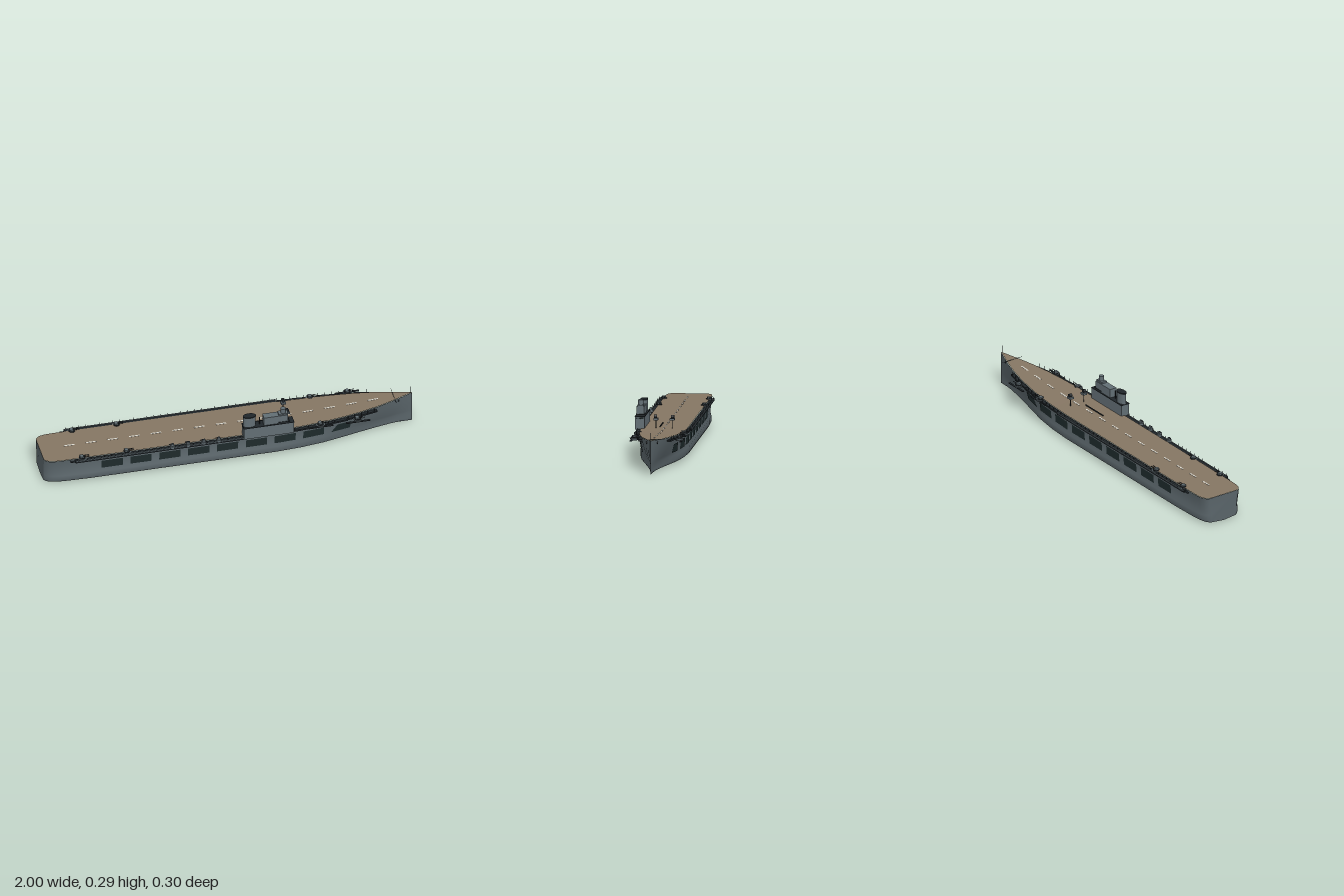
import * as THREE from 'three';
import { toCreasedNormals } from 'three/addons/utils/BufferGeometryUtils.js';

const mat = (name, color, side = THREE.FrontSide) => {
  const m = new THREE.MeshStandardMaterial({ color, side });
  m.name = name;
  return m;
};

// Hull stations: x, half width at deck, half width at the bilge
const stations = [
  [-1, 0.092, 0.08], [-0.992, 0.105, 0.094], [-0.975, 0.116, 0.106], [-0.95, 0.122, 0.114], [-0.9, 0.124, 0.121],
  [-0.75, 0.124, 0.126], [0, 0.124, 0.126], [0.25, 0.124, 0.126], [0.38, 0.12, 0.118], [0.5, 0.113, 0.102],
  [0.6, 0.102, 0.08], [0.7, 0.087, 0.055], [0.8, 0.066, 0.032], [0.88, 0.043, 0.016], [0.95, 0.019, 0.006], [1, 0.0015, 0.001],
];

const sheer = (x) => 0.152 + 0.03 * Math.pow(Math.max(0, (x - 0.35) / 0.65), 1.4);

function widths(x) {
  let i = 0;
  while (i < stations.length - 2 && stations[i + 1][0] < x) i++;
  const a = stations[i], b = stations[i + 1], t = (x - a[0]) / (b[0] - a[0]);
  return [a[1] + (b[1] - a[1]) * t, a[2] + (b[2] - a[2]) * t];
}

// Half section from deck edge down to keel as [half width, height]
function section(x) {
  const [d, b] = widths(x);
  const waist = b * 0.94 + (d - b) * 0.3;
  return [[d, sheer(x)], [waist + (d - waist) * 0.8, 0.138], [waist, 0.068], [b, 0.05],
    [b, 0.022], [b * 0.975, 0.014], [b * 0.93, 0.01], [0, 0.002]];
}

function sideAt(x, y) {
  const s = section(x), a = s[1], b = s[2];
  return b[0] + (a[0] - b[0]) * (y - b[1]) / (a[1] - b[1]);
}

function meshGeometry(pos, index) {
  const g = new THREE.BufferGeometry();
  g.setAttribute('position', new THREE.Float32BufferAttribute(pos, 3));
  g.setIndex(index);
  return toCreasedNormals(g, 0.6);
}

function hullGeometry() {
  const pos = [], index = [];
  let n = 0;
  stations.forEach(([x]) => {
    const s = section(x);
    const ring = [...s, ...s.slice(0, -1).reverse().map(([z, y]) => [-z, y])];
    n = ring.length;
    ring.forEach(([z, y]) => pos.push(x, y, z));
  });
  for (let i = 0; i < stations.length - 1; i++) {
    for (let j = 0; j < n - 1; j++) {
      const a = i * n + j, b = a + n;
      index.push(a, a + 1, b, b, a + 1, b + 1);
    }
  }
  const last = (stations.length - 1) * n;
  for (let j = 1; j < n - 1; j++) index.push(0, j + 1, j, last, last + j, last + j + 1);
  return meshGeometry(pos, index);
}

function deckGeometry() {
  const pos = [], index = [];
  stations.forEach(([x, d], i) => {
    const w = Math.max(0.0005, d - 0.002), y = sheer(x) + 0.0005;
    pos.push(x, y, w, x, y, -w);
    if (i) {
      const a = 2 * i - 2;
      index.push(a, a + 2, a + 1, a + 1, a + 2, a + 3);
    }
  });
  return meshGeometry(pos, index);
}

export function createModel() {
  const model = new THREE.Group();
  const ship = new THREE.Group();
  ship.name = 'ship';
  ship.position.z = -0.004;
  model.add(ship);

  const grey = mat('hullGrey', 0x5a656a);
  const upper = mat('superstructureGrey', 0x626e74);
  const dark = mat('openingDark', 0x1f2c2d, THREE.DoubleSide);
  const black = mat('fittingBlack', 0x20262a);
  const wood = mat('deckBrown', 0x857663);
  const white = mat('markingWhite', 0xdcdad0);

  const add = (name, geo, m, x = 0, y = 0, z = 0, parent = ship) => {
    const o = new THREE.Mesh(geo, m);
    o.name = name;
    o.position.set(x, y, z);
    parent.add(o);
    return o;
  };
  const box = (name, w, h, d, m, x, y, z, p) => add(name, new THREE.BoxGeometry(w, h, d), m, x, y, z, p);
  const cyl = (name, r, h, m, x, y, z, p, r2 = r) => add(name, new THREE.CylinderGeometry(r, r2, h, 20), m, x, y, z, p);

  add('hull', hullGeometry(), grey);
  add('flightDeck', deckGeometry(), wood);

  // Dashed centre line
  for (let i = 0; i < 15; i++) {
    const x = -0.842 + i * 0.1165;
    const dash = box('deckDash', 0.056, 0.001, 0.008, white, x, sheer(x) + 0.0015, 0);
    dash.rotation.z = Math.atan2(sheer(x + 0.02) - sheer(x - 0.02), 0.04);
  }
  box('deckBarrier', 0.155, 0.006, 0.004, black, 0.197, 0.155, 0.026);

  for (const s of [1, -1]) {
    // Hull side openings, the foremost one with a slanted end
    for (let i = 0; i < 9; i++) {
      const w = i < 8 ? 0.114 : 0.106;
      const g = new THREE.PlaneGeometry(w, 0.048, 6, 1);
      const p = g.attributes.position;
      for (let k = 0; k < p.count; k++) {
        let x = p.getX(k) - 0.697 + i * 0.155 + w / 2;
        const y = p.getY(k) + 0.093;
        if (i === 8) x += (0.655 - x) * 0.3 * (y - 0.069) / 0.048;
        p.setXYZ(k, x, y, s * (sideAt(x, y) + 0.003));
      }
      g.computeVertexNormals();
      add('sideOpening', g, dark);
    }

    // Walkway galleries, straight aft and stepped toward the bow
    box('gallery', 1.14, 0.01, 0.022, black, -0.27, 0.143, s * 0.132);
    box('galleryLip', 1.14, 0.005, 0.003, grey, -0.27, 0.15, s * 0.142);
    for (let i = 0; i < 6; i++) {
      const x = 0.34 + i * 0.082;
      const slope = (widths(x + 0.04)[0] - widths(x - 0.04)[0]) / 0.08;
      const step = box('bowGallery', 0.086, 0.009, 0.018, black, x, 0.143 + (sheer(x) - 0.152) * 0.7, s * (widths(x)[0] + 0.007));
      step.rotation.y = -s * Math.atan(slope);
    }

    // Gallery railing
    for (let i = 0; i <= 44; i++) {
      const x = -0.83 + i * 0.0365;
      const z = x < 0.3 ? 0.142 : widths(x)[0] + 0.014;
      box('railPost', 0.0015, 0.02, 0.0015, black, x, sheer(x) + 0.001, s * z);
    }

    // Twin gun mounts on round sponsons
    for (const x of [-0.8, -0.56, 0.48, 0.68]) {
      const gun = new THREE.Group();
      gun.name = 'gunMount';
      gun.position.set(x, 0.15, s * 0.119);
      ship.add(gun);
      cyl('sponson', 0.024, 0.012, grey, 0, -0.004, 0, gun, 0.019);
      cyl('turntable', 0.017, 0.006, black, 0, 0.004, 0, gun);
      box('gunShield', 0.018, 0.01, 0.022, upper, -0.003, 0.01, 0, gun);
      for (const k of [1, -1]) {
        const barrel = cyl('gunBarrel', 0.0017, 0.036, black, 0.018, 0.011, k * 0.006, gun);
        barrel.rotation.z = Math.PI / 2;
      }
      box('gunPlatform', 0.13, 0.003, 0.012, black, 0, -0.008, s * 0.012, gun);
    }

    // Raised directors on the deck
    box('directorBase', 0.026, 0.011, 0.024, upper, 0.317, 0.201, s * 0.043);
    cyl('directorPost', 0.002, 0.046, black, 0.317, 0.174, s * 0.043);
    const drum = cyl('directorDrum', 0.009, 0.016, black, 0.317, 0.215, s * 0.045);
    drum.rotation.x = Math.PI / 2;

    // Bow hawse plates
    const hawse = cyl('hawsePlate', 0.006, 0.004, black, 0.92, 0.161, s * (widths(0.92)[0] - 0.001));
    hawse.rotation.x = Math.PI / 2;
  }

  // Bow boom and flagstaff
  const boom = cyl('bowBoom', 0.001, 0.128, black, 0.9, 0.177, 0);
  boom.rotation.x = Math.PI / 2;
  cyl('flagstaff', 0.001, 0.044, black, 0.99, 0.2, 0);

  // Light guns along the island side
  for (const x of [-0.32, -0.235, -0.152, -0.07]) {
    cyl('lightGunTub', 0.013, 0.012, upper, x, 0.153, 0.136);
    box('lightGun', 0.016, 0.012, 0.012, upper, x, 0.165, 0.136);
    box('lightGunBarrel', 0.026, 0.003, 0.003, black, x - 0.004, 0.171, 0.136);
  }

  // Island: base, bridge block, director tower and funnel
  const island = new THREE.Group();
  island.name = 'island';
  island.position.z = 0.127;
  ship.add(island);
  box('islandBase', 0.268, 0.068, 0.05, upper, 0.196, 0.179, 0, island);
  box('islandRoofEdge', 0.272, 0.003, 0.053, black, 0.196, 0.2135, 0, island);
  box('bridge', 0.13, 0.05, 0.04, upper, 0.235, 0.238, 0, island);
  box('bridgeGallery', 0.06, 0.003, 0.046, black, 0.278, 0.222, 0, island);
  box('bridgeRoof', 0.05, 0.008, 0.032, upper, 0.275, 0.267, 0, island);
  for (let i = -2; i <= 2; i++) {
    box('bridgeWindow', 0.002, 0.007, 0.006, dark, 0.3305, 0.205, i * 0.008, island);
  }
  cyl('directorTower', 0.0135, 0.036, upper, 0.277, 0.279, 0, island);
  const funnel = cyl('funnel', 0.019, 0.062, upper, 0.096, 0.244, 0, island);
  funnel.scale.x = 1.75;
  const cap = cyl('funnelCap', 0.02, 0.007, black, 0.096, 0.275, 0, island);
  cap.scale.x = 1.75;
  box('islandMast', 0.004, 0.05, 0.004, black, 0.15, 0.235, 0, island);

  return model;
}
